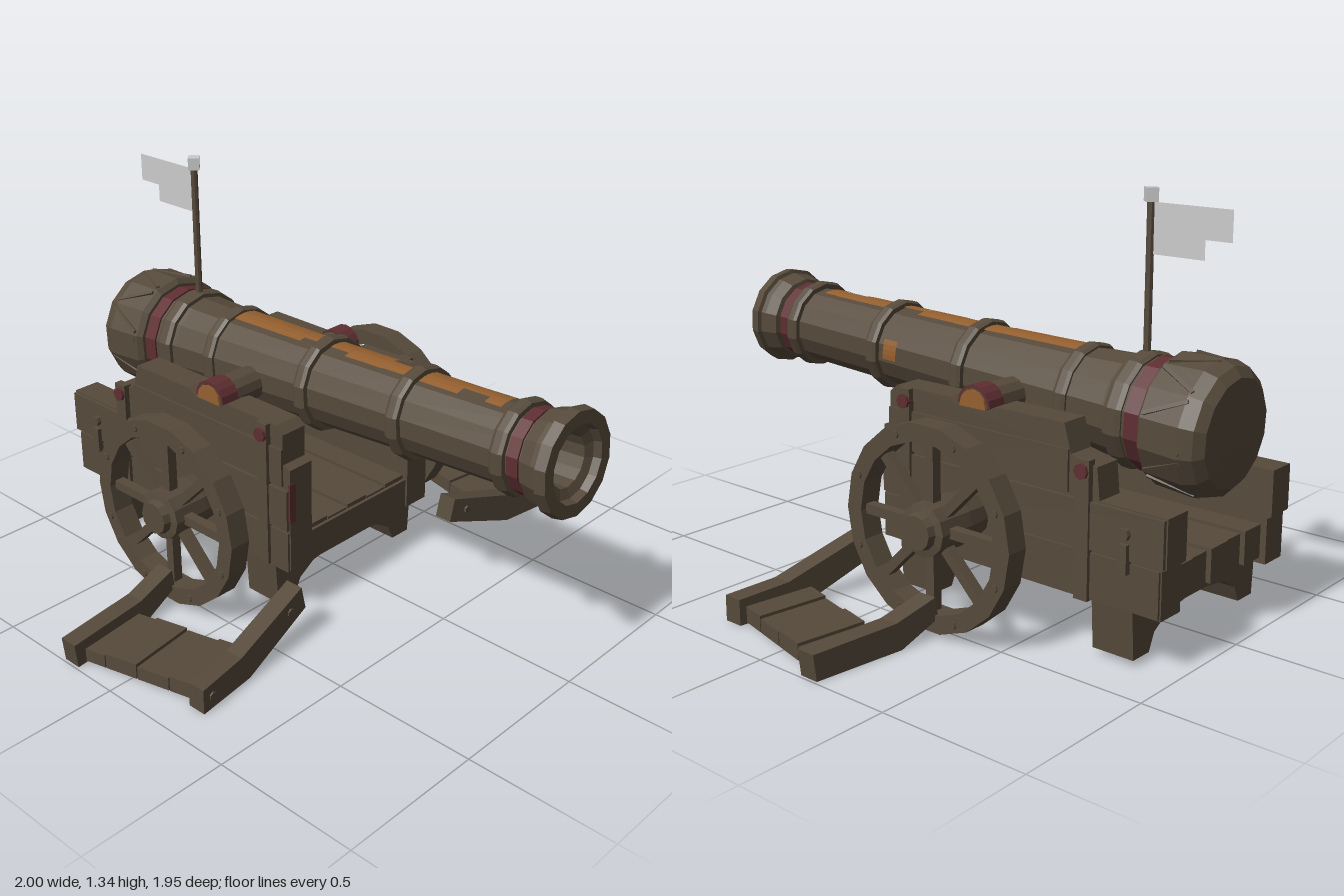
import * as THREE from 'three';

const material = (name, color) => {
  const m = new THREE.MeshStandardMaterial({ color });
  m.name = name;
  return m;
};

// Faceted normals without shared vertices
function facet(g) {
  const out = g.index ? g.toNonIndexed() : g;
  out.computeVertexNormals();
  return out;
}

// Mirror across x = 0, keeping faces pointing outward
function mirrorX(g) {
  const m = g.clone(), p = m.attributes.position;
  for (let i = 0; i < p.count; i += 3) {
    const a = [0, 2, 1].map(k => [-p.getX(i + k), p.getY(i + k), p.getZ(i + k)]);
    a.forEach((v, k) => p.setXYZ(i + k, ...v));
  }
  m.computeVertexNormals();
  return m;
}

const box = (x0, x1, y0, y1, z0, z1) =>
  new THREE.BoxGeometry(x1 - x0, y1 - y0, z1 - z0).translate((x0 + x1) / 2, (y0 + y1) / 2, (z0 + z1) / 2);

const rod = (r, x0, x1, y, z, sides = 10) =>
  new THREE.CylinderGeometry(r, r, x1 - x0, sides).rotateZ(-Math.PI / 2).translate((x0 + x1) / 2, y, z);

const shape = pts => new THREE.Shape(pts.map(p => new THREE.Vector2(...p)));

const slab = (pts, depth) => new THREE.ExtrudeGeometry(shape(pts), { depth, bevelEnabled: false });

const lathe = (pts, sides, start = 0, length = Math.PI * 2) =>
  new THREE.LatheGeometry(pts.map(p => new THREE.Vector2(...p)), sides, start, length);

// Move every vertex by a rule
function bend(g, rule) {
  const p = g.attributes.position;
  for (let i = 0; i < p.count; i++) p.setXYZ(i, ...rule(p.getX(i), p.getY(i), p.getZ(i)));
  return g;
}

export function createModel() {
  const wood = material('darkWood', 0x564a3b);
  const rust = material('rustOrange', 0x95602f);
  const red = material('faintRed', 0x5f2e31);
  const grey = material('flagGrey', 0xcccccc);
  grey.side = THREE.DoubleSide;

  const model = new THREE.Group();
  model.name = 'cannon';
  const add = (name, g, mat, parent = model) => {
    const mesh = new THREE.Mesh(facet(g), mat);
    mesh.name = name;
    parent.add(mesh);
    return mesh;
  };
  const addPair = (name, g, mat) => {
    const left = add(name + 'Left', g, mat);
    add(name + 'Right', mirrorX(left.geometry), mat);
  };

  // Barrel, tilted slightly upward toward the muzzle
  const gun = new THREE.Group();
  gun.name = 'gun';
  gun.position.y = 0.7;
  gun.rotation.x = -0.05;
  model.add(gun);
  const alongZ = g => g.rotateX(Math.PI / 2);
  const tube = [
    [0, -0.975], [0.17, -0.97], [0.2, -0.945], [0.214, -0.9], [0.208, -0.765], [0.19, -0.75], [0.175, -0.75],
    [0.175, -0.69], [0.165, -0.6], [0.153, -0.4], [0.141, 0], [0.134, 0.4], [0.131, 0.86], [0.147, 0.865],
    [0.158, 0.91], [0.16, 0.93], [0.173, 0.935], [0.168, 0.97], [0.125, 0.97], [0.118, 0.945], [0.085, 0.935],
    [0.08, 0.5], [0, 0.5]
  ];
  add('barrel', alongZ(lathe(tube, 14)), wood, gun);

  // Raised hoops: position, radius, half width
  for (const [z, r, w] of [[-0.65, 0.186, 0.032], [-0.44, 0.17, 0.024], [-0.01, 0.164, 0.024],
    [0.38, 0.157, 0.024], [0.78, 0.154, 0.024]]) {
    const b = r - 0.04;
    add('barrelHoop', alongZ(lathe([[b, z - w], [r - 0.006, z - w], [r, z - w * 0.5], [r, z + w * 0.5],
      [r - 0.006, z + w], [b, z + w]], 14)), wood, gun);
  }

  // Red bands by the breech and the muzzle
  add('breechBand', alongZ(lathe([[0.15, -0.748], [0.181, -0.748], [0.181, -0.695], [0.15, -0.695]], 14)), red, gun);
  add('muzzleBand', alongZ(lathe([[0.12, 0.812], [0.138, 0.812], [0.138, 0.852], [0.12, 0.852]], 14)), red, gun);

  // Worn rust panels: start, end, angle around the barrel, half angle
  const bore = z => 0.141 - 0.0175 * z - (z < 0 ? 0.0125 * z : 0);
  for (const [z0, z1, a, h] of [
    [-0.41, -0.1, 0, 0.31], [-0.1, -0.035, 0.08, 0.24], [0.02, 0.1, 0.08, 0.25], [0.1, 0.26, 0, 0.32],
    [0.26, 0.355, -0.1, 0.2], [0.41, 0.56, 0, 0.33], [0.56, 0.66, 0.12, 0.2], [0.66, 0.72, 0, 0.3],
    [0.27, 0.33, 1.45, 0.25]]) {
    add('rustPanel', alongZ(lathe([[bore(z0) + 0.004, z0], [bore(z1) + 0.004, z1]], 4,
      Math.PI - a - h, h * 2)), rust, gun);
  }

  // Carved zigzag on the breech
  for (let i = 0; i < 14; i++) {
    const bar = new THREE.BoxGeometry(0.012, 0.01, 0.15).rotateY(i % 2 ? 0.45 : -0.45)
      .translate(0, 0.206, -0.84).rotateZ((i + 0.5) * Math.PI / 7);
    add('breechCarving', bar, wood, gun);
  }

  // Trunnions with rust ends and red straps
  addPair('trunnion', rod(0.057, 0.1, 0.33, 0.675, -0.245, 12), wood);
  addPair('trunnionEnd', rod(0.052, 0.33, 0.336, 0.675, -0.245, 12), rust);
  addPair('trunnionStrap', lathe([[0.05, -0.035], [0.065, -0.035], [0.065, 0.035], [0.05, 0.035]], 8, 0, Math.PI)
    .rotateZ(Math.PI / 2).translate(0.295, 0.675, -0.245), red);

  // Carriage cheeks
  const cheek = [[0.13, 0.18], [0.13, 0.55], [0.1, 0.56], [0.1, 0.665], [0.07, 0.69], [-0.15, 0.69],
    [-0.19, 0.67], [-0.3, 0.67], [-0.34, 0.69], [-0.6, 0.69], [-0.625, 0.6], [-0.72, 0.58], [-0.73, 0.48],
    [-0.965, 0.48], [-0.965, 0.33], [-0.95, 0.32], [-0.95, 0.17]].reverse();
  const intoCheek = (pts, x0, x1) => slab(pts, x1 - x0).rotateY(-Math.PI / 2).translate(x1, 0, 0);
  addPair('cheek', intoCheek(cheek, 0.24, 0.338), wood);
  addPair('lowerBoard', box(0.32, 0.346, 0.175, 0.32, -0.945, 0.125), wood);
  addPair('middleBoard', box(0.32, 0.35, 0.33, 0.475, -0.96, 0.125), wood);
  addPair('upperBoard', box(0.32, 0.346, 0.485, 0.615, -0.62, 0.1), wood);
  addPair('rearStrap', box(0.33, 0.358, 0.17, 0.6, -0.705, -0.655), wood);
  addPair('frontStrap', box(0.33, 0.358, 0.18, 0.69, 0.0, 0.045), wood);
  addPair('cheekClasp', box(0.34, 0.365, 0.29, 0.38, -0.845, -0.815), wood);
  addPair('rearBolt', rod(0.024, 0.34, 0.368, 0.565, -0.68, 8), red);
  addPair('frontBolt', rod(0.024, 0.34, 0.368, 0.65, 0.022, 8), red);
  addPair('tailBolt', rod(0.02, 0.34, 0.366, 0.41, -0.83, 8), wood);
  addPair('redEdge', box(0.315, 0.342, 0.36, 0.5, 0.126, 0.133), red);

  // Bed planks
  for (let i = 0; i < 5; i++) {
    const x = -0.24 + i * 0.096;
    add('bedPlank', box(x + 0.002, x + 0.094, 0.19, 0.3 - (i % 2) * 0.008, -0.93 + (i % 2) * 0.015, 0.11), wood);
  }
  add('bedCrossRail', box(-0.24, 0.24, 0.175, 0.285, 0.08, 0.122), wood);

  // Arched bolsters with feet
  const half = [[0.34, 0.185], [0.33, 0.02], [0.25, 0.02], [0.225, 0.075], [0.16, 0.115], [0.06, 0.13]];
  const arch = [...half, ...half.map(([x, y]) => [-x, y]).reverse()].reverse();
  for (const [z, d] of [[-0.855, 0.145], [-0.08, 0.14]])
    add('bolster', slab(arch, d).translate(0, 0, z), wood);

  // Spoked wheels
  const wx = 0.515, wy = 0.338, wz = -0.245;
  const place = g => g.rotateZ(-Math.PI / 2).translate(wx, wy, wz);
  addPair('wheelRim', place(lathe([[0.27, -0.038], [0.328, -0.038], [0.328, 0.038], [0.27, 0.038],
    [0.27, -0.038]], 18)), wood);
  addPair('hub', place(lathe([[0, -0.17], [0.075, -0.17], [0.085, -0.08], [0.085, 0.05], [0.06, 0.055],
    [0.055, 0.08], [0, 0.08]], 12)), wood);
  for (let i = 0; i < 8; i++) {
    const a = i * Math.PI / 4;
    addPair('spoke', new THREE.BoxGeometry(0.034, 0.22, 0.032).translate(0, 0.175, 0)
      .rotateX(a).translate(wx, wy, wz), wood);
    addPair('rimStud', rod(0.012, wx + 0.03, wx + 0.045, wy + 0.298 * Math.cos(a + 0.39),
      wz + 0.298 * Math.sin(a + 0.39), 6), wood);
  }

  // Ground frames beside the wheels: two bent beams and cross boards
  const frontBeam = [[0.37, 0.1], [0.66, 0], [0.88, 0], [0.88, 0.085], [0.7, 0.095], [0.39, 0.185]];
  addPair('frontBeam', bend(slab(frontBeam, 0.065).translate(0, 0, 0.16),
    (x, y, z) => [x, y, z + (x - 0.37) * 0.14]), wood);
  const rearBeam = [[0.54, 0.06], [0.68, 0], [0.99, 0], [1, 0.085], [0.7, 0.09], [0.55, 0.13]];
  addPair('rearBeam', bend(slab(rearBeam, 0.065).translate(0, 0, -0.285),
    (x, y, z) => [x, y, z + (x - 0.54) * 0.12]), wood);
  for (let i = 0; i < 4; i++) {
    const z = -0.245 + i * 0.117;
    addPair('groundBoard', bend(box(0.72, 0.96, 0.005, 0.05 + (i % 2) * 0.008, z, z + 0.113),
      (x, y, zz) => [x - 0.25 * (zz + 0.22), y, zz + (x - 0.72) * 0.14]), wood);
  }
  for (const [x, z] of [[0.84, 0.285], [0.45, 0.23]])
    addPair('beamPeg', new THREE.CylinderGeometry(0.014, 0.014, 0.025, 6).rotateX(Math.PI / 2)
      .translate(x, x > 0.6 ? 0.045 : 0.125, z), wood);

  // Flagpole, cap and stepped flag
  add('flagpole', new THREE.CylinderGeometry(0.012, 0.012, 0.5, 8).translate(0, 1.06, -0.65), wood);
  add('poleCap', new THREE.BoxGeometry(0.038, 0.042, 0.038).rotateY(Math.PI / 4).translate(0, 1.322, -0.65), grey);
  const flag = [[-0.66, 1.3], [-0.93, 1.3], [-0.93, 1.205], [-0.84, 1.205], [-0.84, 1.145], [-0.66, 1.145]];
  add('flag', new THREE.ShapeGeometry(shape(flag)).rotateY(-Math.PI / 2), grey);

  return model;
}
